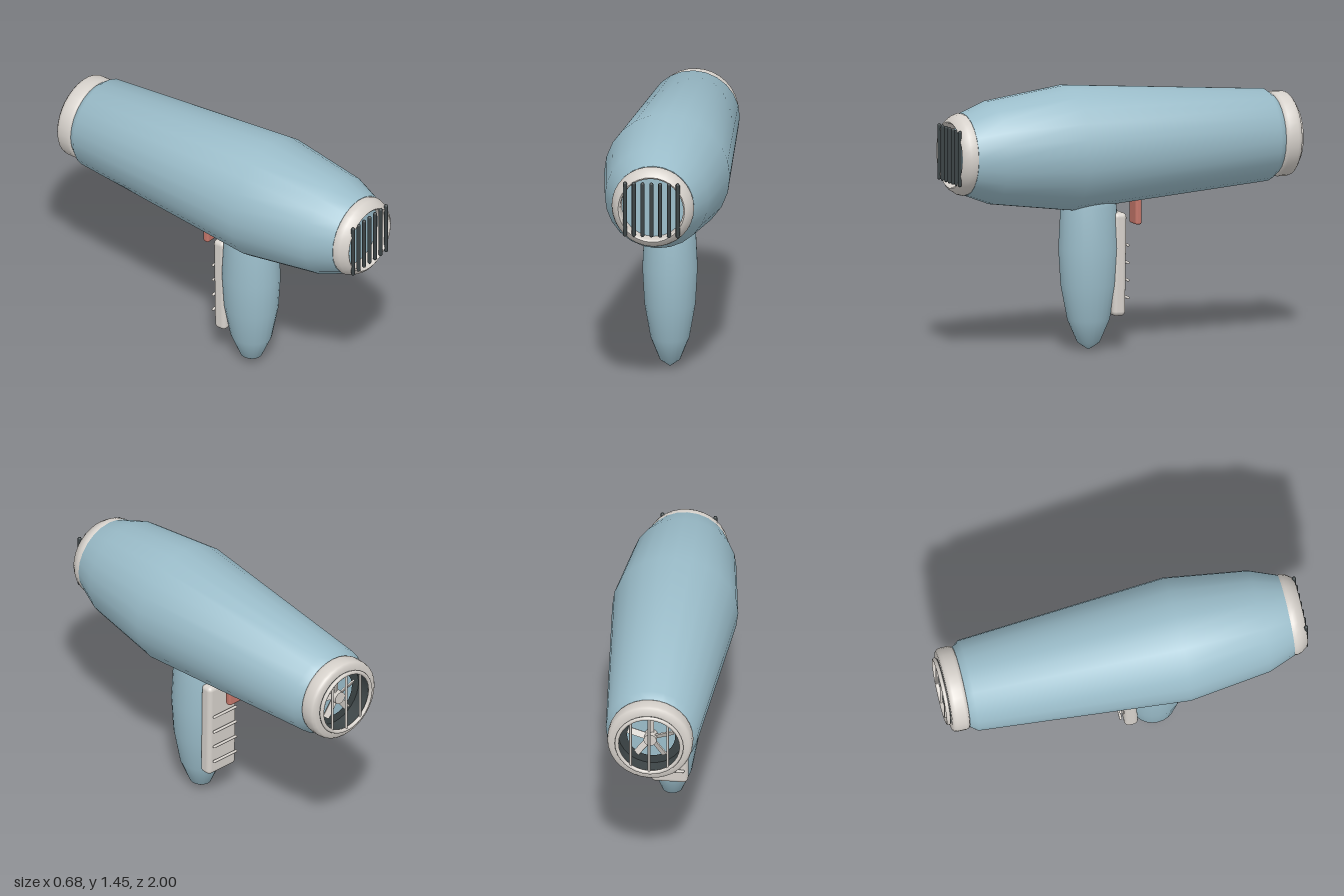
import * as THREE from 'three';
import { RoundedBoxGeometry } from 'three/addons/geometries/RoundedBoxGeometry.js';
import { toCreasedNormals } from 'three/addons/utils/BufferGeometryUtils.js';

const AXIS_Y = 1.11; // height of the barrel's centre line

const mat = (name, color, side = THREE.FrontSide) => {
  const m = new THREE.MeshStandardMaterial({ color, side });
  m.name = name;
  return m;
};

export function createModel() {
  const blue = mat('dusty blue', 0x9bbdca);
  const cream = mat('warm grey', 0xd6d1cb);
  const dark = mat('charcoal', 0x3c4446, THREE.DoubleSide);
  const red = mat('coral red', 0xc4766a);

  const model = new THREE.Group();
  model.name = 'hairDryer';

  const add = (name, geometry, material, x = 0, y = 0, z = 0, parent = model) => {
    const mesh = new THREE.Mesh(geometry, material);
    mesh.name = name;
    mesh.position.set(x, y, z);
    parent.add(mesh);
    return mesh;
  };

  // Turned part along z; profile is [radius, z] from back to front
  const turned = (profile, segments, crease) => {
    const g = new THREE.LatheGeometry(profile.map(([r, z]) => new THREE.Vector2(r, z)), segments);
    g.rotateX(Math.PI / 2);
    return crease ? toCreasedNormals(g, crease) : g;
  };

  // Barrel, closed at both ends
  add('barrel', turned([
    [0, -0.88], [0.22, -0.88], [0.25, -0.84], [0.34, 0.31],
    [0.28, 0.76], [0.222, 0.91], [0, 0.91],
  ], 24, 0.7), blue, 0, AXIS_Y);

  // Front nozzle ring
  add('nozzleRing', turned([
    [0.17, 0.9], [0.216, 0.9], [0.223, 0.925], [0.215, 0.95], [0.195, 0.98],
    [0.18, 0.99], [0.172, 0.985], [0.17, 0.97], [0.17, 0.9],
  ], 32, 0.9), cream, 0, AXIS_Y);

  // Front grille
  const bar = new THREE.CapsuleGeometry(0.011, 0.284, 4, 8);
  for (let i = -3; i <= 3; i++) add('nozzleBar', bar, dark, i * 0.0475, AXIS_Y, 0.989);

  // Rear collar and intake rim
  add('rearCollar', turned([
    [0.18, -0.88], [0.18, -0.975], [0.215, -0.975], [0.226, -0.965], [0.23, -0.95],
    [0.23, -0.9], [0.226, -0.885], [0.215, -0.88], [0.18, -0.88],
  ], 32, 0.9), cream, 0, AXIS_Y);
  add('intakeRim', new THREE.TorusGeometry(0.175, 0.011, 8, 32), cream, 0, AXIS_Y, -0.988);

  // Dark intake lining
  add('intakeLining', turned([[0.13, -0.89], [0.178, -0.89], [0.178, -0.985]], 32, 0.7), dark, 0, AXIS_Y);

  // Intake bars
  for (const x of [-0.1, 0, 0.1]) {
    const length = 2 * Math.sqrt(0.175 ** 2 - x * x);
    add('intakeBar', new THREE.CylinderGeometry(0.007, 0.007, length, 8), cream, x, AXIS_Y, -0.989);
  }

  // Fan behind the intake bars
  const fan = new THREE.Group();
  fan.name = 'fan';
  fan.position.set(0, AXIS_Y, -0.91);
  model.add(fan);
  const hub = new THREE.CylinderGeometry(0.035, 0.035, 0.06, 16).rotateX(Math.PI / 2);
  add('fanHub', hub, cream, 0, 0, 0, fan);
  const blade = new THREE.BoxGeometry(0.035, 0.1, 0.008).rotateY(0.5).translate(0, 0.08, 0);
  for (let i = 0; i < 5; i++) {
    add('fanBlade', blade, cream, 0, 0, 0, fan).rotation.z = (i * Math.PI * 2) / 5;
  }

  // Handle, slightly deeper than wide
  const handleProfile = [
    [0, 0.005], [0.055, 0.045], [0.105, 0.17], [0.138, 0.36],
    [0.149, 0.56], [0.138, 0.79], [0.12, 0.9], [0, 0.9],
  ];
  const handle = new THREE.LatheGeometry(handleProfile.map(([r, y]) => new THREE.Vector2(r, y)), 24);
  handle.scale(1, 1, 1.11);
  add('handle', handle, blue, 0, 0, 0.18);

  // Grip plate with ridges
  const grip = add('gripPlate', new RoundedBoxGeometry(0.2, 0.56, 0.075, 3, 0.025), cream, 0, 0.47, 0.035);
  grip.rotation.x = -0.015;
  const ridge = new THREE.CapsuleGeometry(0.008, 0.155, 4, 8).rotateZ(Math.PI / 2);
  for (let i = 0; i < 4; i++) add('gripRidge', ridge, cream, 0, 0.285 + i * 0.095, -0.018);

  // Trigger under the barrel
  add('trigger', new RoundedBoxGeometry(0.1, 0.16, 0.036, 3, 0.012), red, 0, 0.752, -0.093);

  return model;
}
